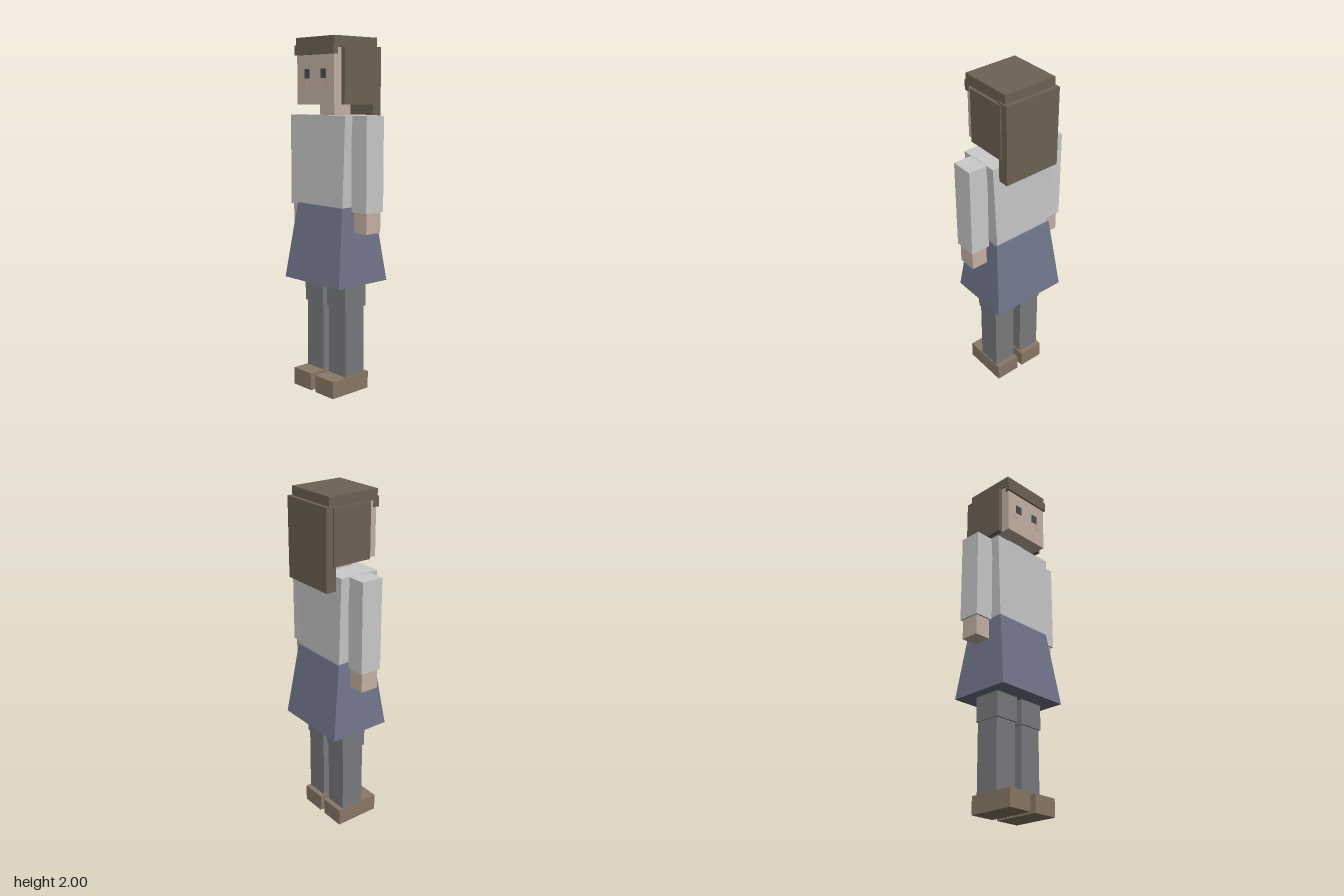
import * as THREE from 'three';

const mat = (color) => new THREE.MeshStandardMaterial({ color, flatShading: true });

export function createModel() {
  const model = new THREE.Group();
  const skin = mat(0xc6b3a5), hair = mat(0x6f6254), sweater = mat(0xcccccc);
  const navy = mat(0x70758a), tights = mat(0x797b7e), leather = mat(0x8a7867);
  const eyeColor = mat(0x4a4e54), blush = mat(0xcca79c);

  // Box given by its [min, max] range on each axis
  function box(name, material, [x0, x1], [y0, y1], [z0, z1]) {
    const mesh = new THREE.Mesh(new THREE.BoxGeometry(x1 - x0, y1 - y0, z1 - z0), material);
    mesh.position.set((x0 + x1) / 2, (y0 + y1) / 2, (z0 + z1) / 2);
    mesh.name = name;
    model.add(mesh);
    return mesh;
  }

  // The same box on both sides of the body
  function pair(name, material, [x0, x1], y, z) {
    box(name + 'Left', material, [x0, x1], y, z);
    box(name + 'Right', material, [-x1, -x0], y, z);
  }

  // Box whose top and bottom differ in half width and half depth
  function taper(name, material, [y0, y1], bottom, top) {
    const mesh = box(name, material, [-1, 1], [y0, y1], [-1, 1]);
    const p = mesh.geometry.attributes.position;
    for (let i = 0; i < p.count; i++) {
      const [w, d] = p.getY(i) > 0 ? top : bottom;
      p.setX(i, p.getX(i) * w);
      p.setZ(i, p.getZ(i) * d);
    }
    mesh.geometry.computeVertexNormals();
  }

  // Legs and shoes
  pair('shoe', leather, [0.018, 0.169], [0, 0.1], [-0.1, 0.174]);
  pair('lowerLeg', tights, [0.025, 0.163], [0.1, 0.5], [-0.07, 0.073]);
  pair('upperLeg', tights, [0.018, 0.169], [0.497, 0.7], [-0.077, 0.083]);

  // Clothed body
  taper('skirt', navy, [0.64, 1.075], [0.23, 0.185], [0.188, 0.122]);
  taper('torso', sweater, [1.07, 1.578], [0.178, 0.112], [0.207, 0.12]);

  // Arms
  pair('sleeve', sweater, [0.2, 0.315], [1.054, 1.576], [-0.065, 0.065]);
  pair('hand', skin, [0.208, 0.305], [0.938, 1.06], [-0.054, 0.054]);

  // Head and face
  box('neck', skin, [-0.06, 0.06], [1.57, 1.65], [-0.06, 0.062]);
  box('head', skin, [-0.152, 0.152], [1.636, 1.945], [-0.15, 0.15]);
  pair('eye', eyeColor, [0.046, 0.088], [1.777, 1.828], [0.145, 0.153]);
  pair('cheek', blush, [0.075, 0.115], [1.737, 1.757], [0.145, 0.1515]);

  // Hair
  box('hairTop', hair, [-0.16, 0.16], [1.94, 2], [-0.163, 0.152]);
  box('fringe', hair, [-0.16, 0.16], [1.904, 1.96], [0.13, 0.161]);
  pair('hairSide', hair, [0.148, 0.177], [1.636, 1.942], [-0.145, 0.095]);
  box('hairBack', hair, [-0.17, 0.17], [1.5, 1.95], [-0.187, -0.125]);

  return model;
}
